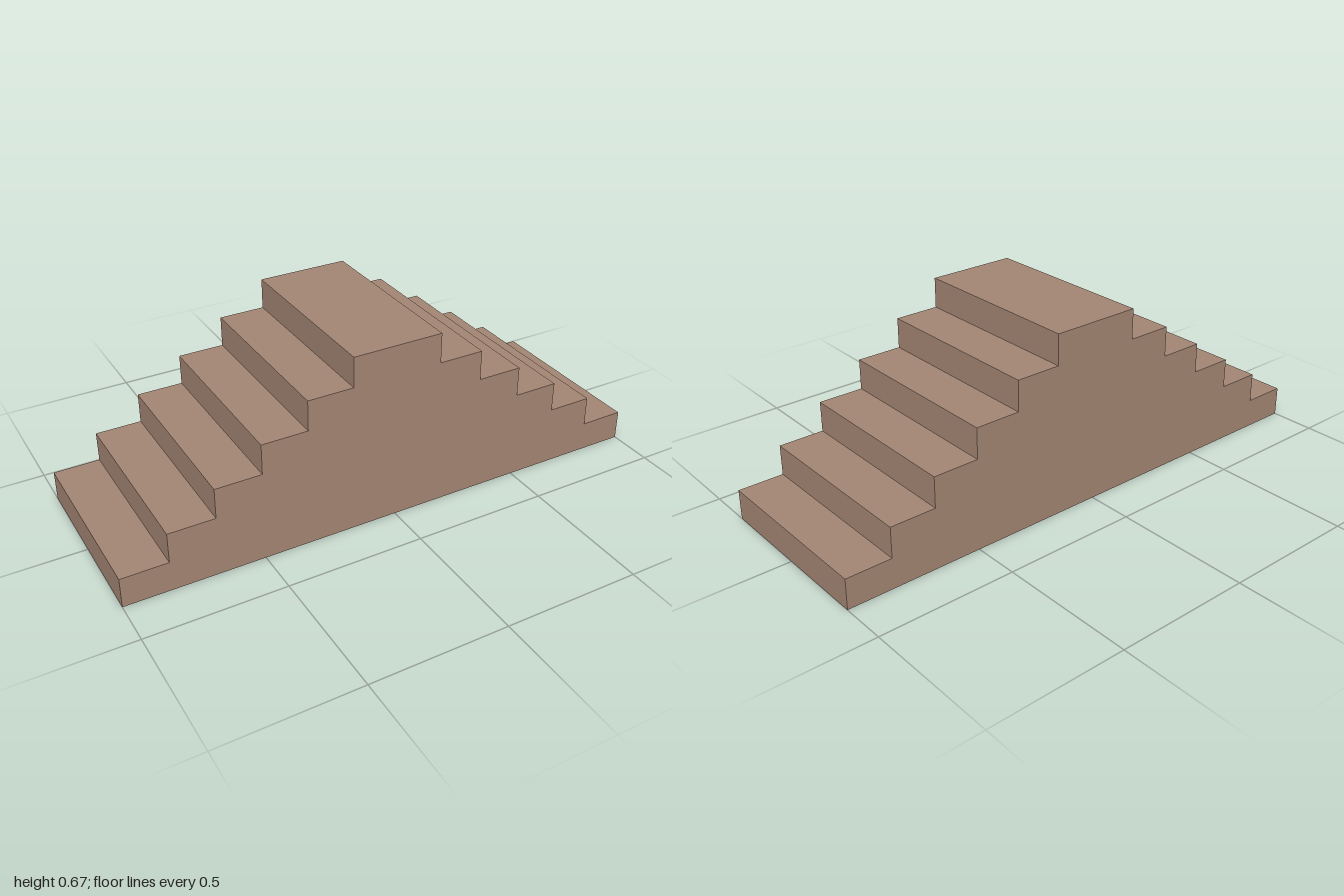
import * as THREE from 'three';

const STEPS = 6;
const RUN = 1 / 6;
const RISE = 1 / 9;
const DEPTH = 2 / 3;

export function createModel() {
  const group = new THREE.Group();
  group.name = 'doubleStaircase';
  const brown = new THREE.MeshStandardMaterial({ color: 0xa48674, side: THREE.DoubleSide });
  brown.name = 'brown';

  function add(name, geometry, x, y, z) {
    const mesh = new THREE.Mesh(geometry, brown);
    mesh.name = name;
    mesh.position.set(x, y, z);
    group.add(mesh);
  }

  // Thin horizontal sheet facing up (or down)
  function flat(name, width, x, y, down = false) {
    const g = new THREE.PlaneGeometry(width, DEPTH).rotateX(down ? Math.PI / 2 : -Math.PI / 2);
    add(name, g, x, y, 0);
  }

  // Stepped outline shared by both side walls
  const outline = new THREE.Shape();
  outline.moveTo(-1, 0);
  outline.lineTo(1, 0);
  for (let i = 0; i < STEPS; i++) {
    outline.lineTo(1 - i * RUN, (i + 1) * RISE);
    if (i < STEPS - 1) outline.lineTo(1 - (i + 1) * RUN, (i + 1) * RISE);
  }
  for (let i = STEPS - 1; i >= 0; i--) {
    outline.lineTo(-1 + i * RUN, (i + 1) * RISE);
    if (i > 0) outline.lineTo(-1 + i * RUN, i * RISE);
  }
  add('frontWall', new THREE.ShapeGeometry(outline), 0, 0, DEPTH / 2);
  add('backWall', new THREE.ShapeGeometry(outline).rotateY(Math.PI), 0, 0, -DEPTH / 2);

  // Risers, treads and end soles on both flights; the middle is open underneath
  for (const side of [-1, 1]) {
    for (let i = 0; i < STEPS; i++) {
      const riser = new THREE.PlaneGeometry(DEPTH, RISE).rotateY(side * Math.PI / 2);
      add('riser', riser, side * (1 - i * RUN), (i + 0.5) * RISE, 0);
      if (i < STEPS - 1) flat('tread', RUN, side * (1 - (i + 0.5) * RUN), (i + 1) * RISE);
    }
    flat('endSole', RUN, side * (1 - RUN / 2), 0, true);
  }

  // Top landing
  flat('landing', 2 * RUN, 0, STEPS * RISE);

  return group;
}
